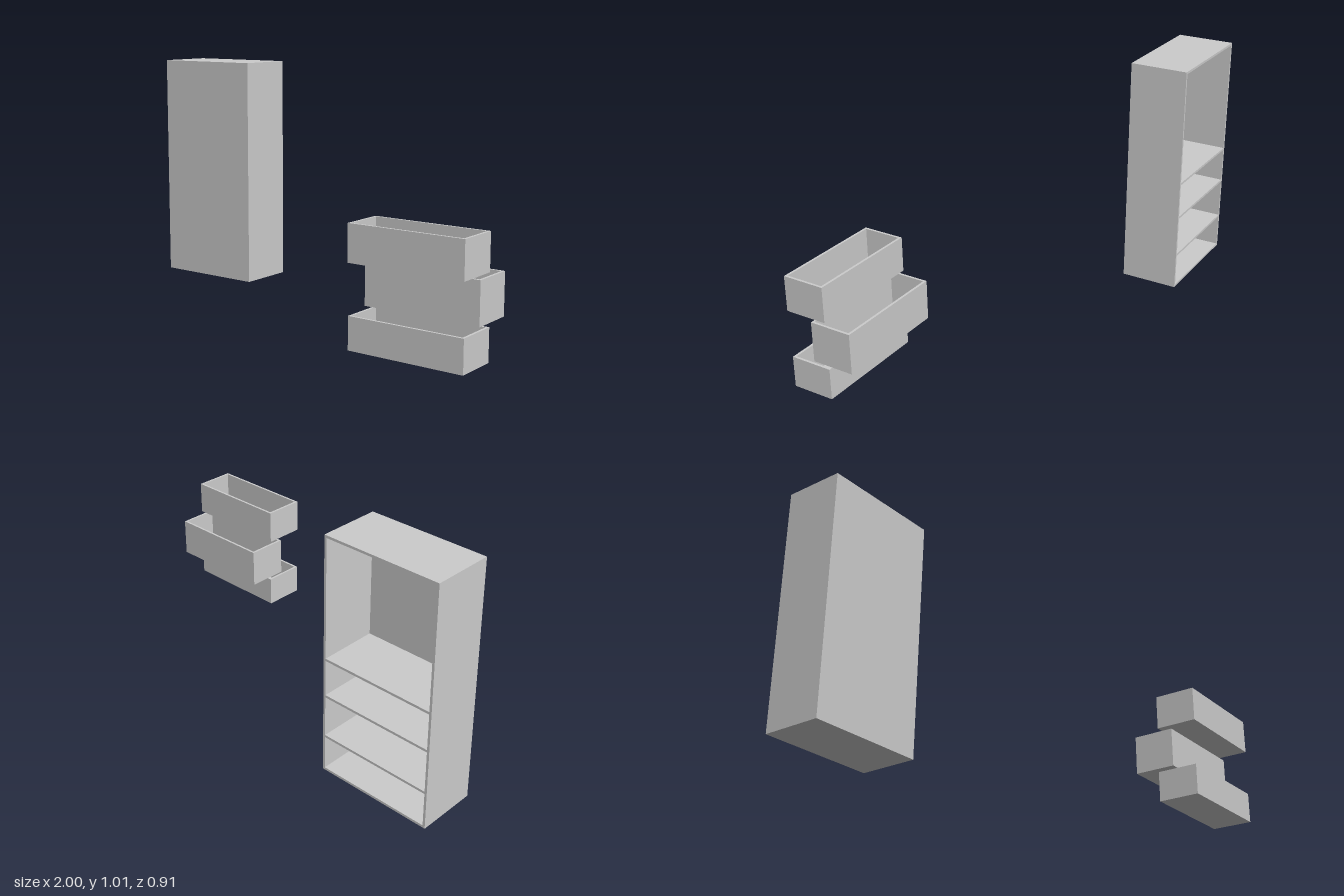
import * as THREE from 'three';

const T = 0.01; // panel thickness
const material = new THREE.MeshStandardMaterial({ color: 0xcccccc, flatShading: true });

// Board given by its minimum and maximum corners
function board(parent, name, [x0, y0, z0], [x1, y1, z1]) {
  const mesh = new THREE.Mesh(new THREE.BoxGeometry(x1 - x0, y1 - y0, z1 - z0), material);
  mesh.position.set((x0 + x1) / 2, (y0 + y1) / 2, (z0 + z1) / 2);
  mesh.name = name;
  parent.add(mesh);
}

// Cabinet closed at the front (+z) and open at the back (-z)
function createCabinet() {
  const g = new THREE.Group();
  g.name = 'cabinet';
  const x0 = -1, x1 = -0.5, z0 = -0.453, z1 = -0.2, h = 1.007;
  board(g, 'rightSide', [x0, 0, z0], [x0 + T, h, z1]);
  board(g, 'leftSide', [x1 - T, 0, z0], [x1, h, z1]);
  board(g, 'closedPanel', [x0 + T, T, z1 - T], [x1 - T, h - T, z1]);
  board(g, 'base', [x0 + T, 0, z0], [x1 - T, T, z1]);
  board(g, 'top', [x0 + T, h - T, z0], [x1 - T, h, z1]);
  // Shelves dividing the drawer bays
  for (const y of [0.153, 0.335, 0.495]) {
    board(g, 'shelf', [x0 + T, y, z0], [x1 - T, y + T, z1 - T]);
  }
  return g;
}

// Open-topped drawer box
function createDrawer(name, y0, y1, z0, z1) {
  const g = new THREE.Group();
  g.name = name;
  const x0 = 0.52, x1 = 1;
  board(g, 'drawerBottom', [x0, y0, z0], [x1, y0 + T, z1]);
  board(g, 'drawerRightSide', [x0, y0 + T, z0], [x0 + T, y1, z1]);
  board(g, 'drawerLeftSide', [x1 - T, y0 + T, z0], [x1, y1, z1]);
  board(g, 'drawerBack', [x0 + T, y0 + T, z0], [x1 - T, y1, z0 + T]);
  board(g, 'drawerFront', [x0 + T, y0 + T, z1 - T], [x1 - T, y1, z1]);
  return g;
}

export function createModel() {
  const model = new THREE.Group();
  model.name = 'cabinetWithDrawers';
  model.add(
    createCabinet(),
    createDrawer('lowerDrawer', 0.02, 0.15, 0.272, 0.45),
    createDrawer('middleDrawer', 0.165, 0.332, 0.165, 0.343),
    createDrawer('upperDrawer', 0.348, 0.494, 0.277, 0.455),
  );
  return model;
}
